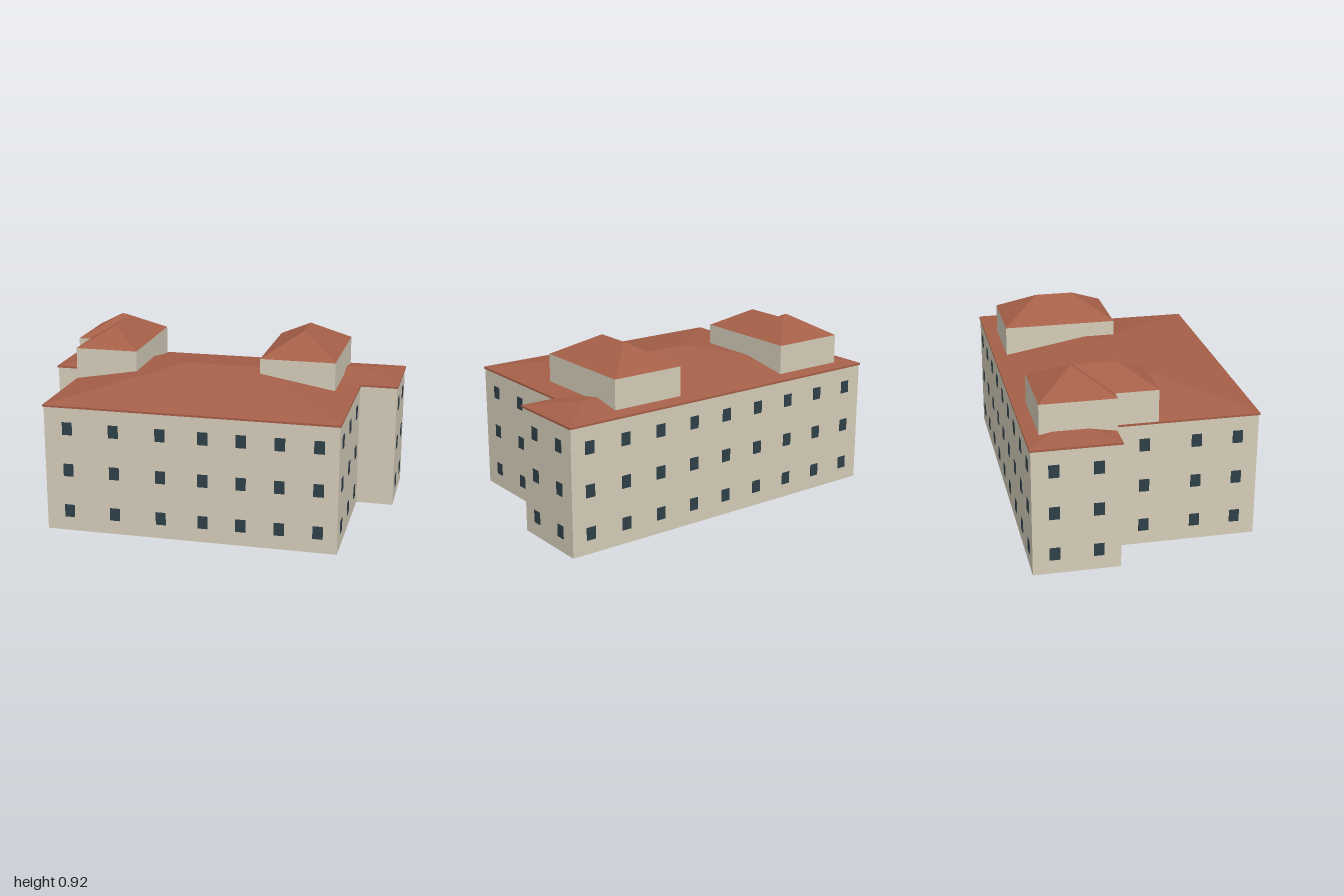
import * as THREE from 'three';
import { mergeGeometries } from 'three/addons/utils/BufferGeometryUtils.js';

const wallMat = new THREE.MeshStandardMaterial({ color: 0xd4ccb8 });
const roofMat = new THREE.MeshStandardMaterial({ color: 0xa55f48 });
const glassMat = new THREE.MeshStandardMaterial({ color: 0x2e3f48 });

// Plan points are [x, z]
const toShape = (pts) => new THREE.Shape(pts.map(([x, z]) => new THREE.Vector2(x, -z)));

function addMesh(parent, name, geometry, material) {
  const mesh = new THREE.Mesh(geometry, material);
  mesh.name = name;
  parent.add(mesh);
  return mesh;
}

// Upright prism over a plan outline
function prism(pts, y0, y1) {
  return new THREE.ExtrudeGeometry(toShape(pts), { depth: y1 - y0, bevelEnabled: false })
    .rotateX(-Math.PI / 2)
    .translate(0, y0, 0);
}

// Hipped roof: each face is a plan polygon whose first two points are its eave;
// height rises with distance from that eave
function hipRoof(faces, eaveY, slope) {
  return mergeGeometries(faces.map((face) => {
    const [[ax, az], [bx, bz]] = face;
    const len = Math.hypot(bx - ax, bz - az);
    const g = new THREE.ShapeGeometry(toShape(face)).rotateX(-Math.PI / 2).toNonIndexed();
    const p = g.attributes.position;
    for (let i = 0; i < p.count; i++) {
      const d = Math.abs((bx - ax) * (p.getZ(i) - az) - (bz - az) * (p.getX(i) - ax)) / len;
      p.setY(i, eaveY + slope * d);
    }
    g.computeVertexNormals();
    return g;
  }));
}

// Main plan: front body with a wider wing along the back
const BODY = 0.73, WING = 0.919, FRONT = 0.661, STEP = -0.05, BACK = -0.481;
function footprint(inset) {
  const b = BODY - inset, w = WING - inset, f = FRONT - inset, s = STEP - inset, k = BACK + inset;
  return [[-b, f], [b, f], [b, s], [w, s], [w, k], [-w, k], [-w, s], [-b, s]];
}

function mainRoofFaces() {
  const rise = (FRONT - BACK) / 2, wingRise = (STEP - BACK) / 2;
  const side = (s) => {
    const at = (x, z) => [s * x, z];
    return {
      front: at(BODY, FRONT), inner: at(BODY, STEP), outer: at(WING, STEP), back: at(WING, BACK),
      ridge: at(BODY - rise, FRONT - rise),
      valley: at(BODY - wingRise, BACK + wingRise),
      peak: at(WING - wingRise, BACK + wingRise),
    };
  };
  const r = side(1), l = side(-1);
  const faces = [
    [l.front, r.front, r.ridge, l.ridge],
    [r.back, l.back, l.peak, l.valley, l.ridge, r.ridge, r.valley, r.peak],
  ];
  for (const e of [r, l]) {
    faces.push(
      [e.front, e.inner, e.valley, e.ridge],
      [e.inner, e.outer, e.peak, e.valley],
      [e.outer, e.back, e.peak]);
  }
  return faces;
}

// Three storeys of evenly spaced windows along a wall from a to b
function addWindows(parent, a, b, count) {
  const angle = Math.atan2(a[1] - b[1], b[0] - a[0]);
  for (const y of [0.103, 0.316, 0.529]) {
    for (let i = 0; i < count; i++) {
      const t = (i + 0.5) / count;
      const pane = addMesh(parent, 'window', new THREE.BoxGeometry(0.05, 0.064, 0.006), glassMat);
      pane.position.set(a[0] + (b[0] - a[0]) * t, y, a[1] + (b[1] - a[1]) * t);
      pane.rotation.y = angle;
    }
  }
}

// Rooftop block with its own hipped roof
function addRoofBlock(parent, name, outline, faces) {
  const block = new THREE.Group();
  block.name = name;
  addMesh(block, name + 'Walls', prism(outline, 0.642, 0.805), wallMat);
  addMesh(block, name + 'Roof', hipRoof(faces, 0.805, 0.578), roofMat);
  parent.add(block);
}

export function createModel() {
  const model = new THREE.Group();
  model.name = 'building';
  const house = new THREE.Group();
  house.name = 'house';
  house.rotation.y = -0.68;
  house.position.set(-0.019, 0, -0.016);
  model.add(house);

  // Walls, thin eaves and main roof
  const walls = footprint(0.005);
  addMesh(house, 'walls', prism(walls, 0, 0.64), wallMat);
  addMesh(house, 'eaves', prism(footprint(0), 0.634, 0.644), roofMat);
  addMesh(house, 'mainRoof', hipRoof(mainRoofFaces(), 0.644, 0.175), roofMat);

  // Windows, wall by wall
  const windows = new THREE.Group();
  windows.name = 'windows';
  house.add(windows);
  const [fl, fr, ir, or, br, bl, ol, il] = walls;
  const frontSplit = [-0.024, fl[1]], leftSplit = [il[0], 0.25];
  addWindows(windows, fl, frontSplit, 3);
  addWindows(windows, frontSplit, fr, 4);
  addWindows(windows, fr, ir, 3);
  addWindows(windows, or, br, 2);
  addWindows(windows, br, bl, 9);
  addWindows(windows, bl, ol, 2);
  addWindows(windows, il, leftSplit, 1);
  addWindows(windows, leftSplit, fl, 2);

  // Plain rectangular block
  const zf = 0.162, zb = -0.416;
  {
    const x0 = 0.244, x1 = 0.626, h = (x1 - x0) / 2, xm = x0 + h;
    const a = [x0, zf], b = [x1, zf], c = [x1, zb], d = [x0, zb];
    const r0 = [xm, zf - h], r1 = [xm, zb + h];
    addRoofBlock(house, 'leftRoofBlock', [a, b, c, d],
      [[a, b, r0], [b, c, r1, r0], [c, d, r1], [d, a, r0, r1]]);
  }

  // Stepped block, notched where the wing meets the body
  {
    const xo = -0.787, xn = -0.728, xi = -0.404, zs = -0.048;
    const h = (xi - xn) / 2, k = (zs - zb) / 2;
    const a = [xn, zf], b = [xi, zf], c = [xi, zb], d = [xo, zb], e = [xo, zs], f = [xn, zs];
    const tip = [xn + h, zf - h], meet = [xn + h, zs - h];
    const n1 = [xo + k, zb + k], n2 = [xi - k, zb + k];
    addRoofBlock(house, 'rightRoofBlock', [a, b, c, d, e, f], [
      [a, b, tip], [b, c, n2, meet, tip], [c, d, n1, n2],
      [d, e, n1], [e, f, meet, n2, n1], [f, a, tip, meet],
    ]);
  }
  return model;
}
